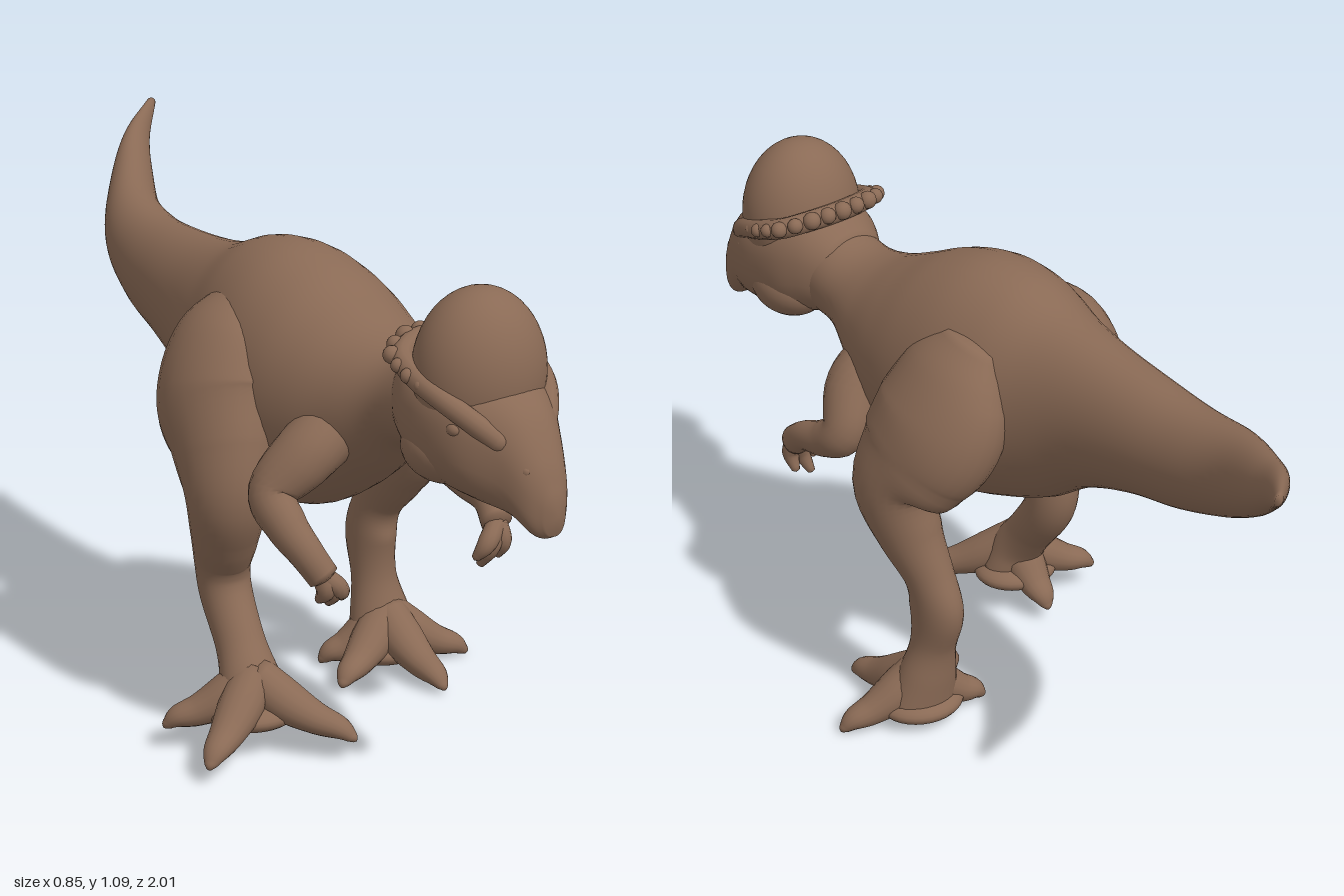
import * as THREE from 'three';

const skin = new THREE.MeshStandardMaterial({ color: 0x8a6a55 });
skin.name = 'brownSkin';

const V = (x, y, z) => new THREE.Vector3(x, y, z);

// Smooth closed skin through sections [x, y, z, radiusU, radiusV].
// ref sets the ring orientation; without it rings stay in z planes (run towards +z).
function loft(name, secs, { ref = null, steps = 6, sides = 24, power = 1 } = {}) {
  const path = new THREE.CatmullRomCurve3(secs.map(s => V(s[0], s[1], s[2])), false, 'catmullrom', 0.5);
  const size = new THREE.CatmullRomCurve3(secs.map(s => V(s[3], s[4], 0)), false, 'catmullrom', 0.5);
  const n = (secs.length - 1) * steps, pos = [], idx = [];
  const bend = c => Math.sign(c) * Math.pow(Math.abs(c), power);
  for (let i = 0; i <= n; i++) {
    const t = i / n, p = path.getPoint(t), r = size.getPoint(t);
    const dir = path.getTangent(t);
    const u = ref ? ref.clone().cross(dir).normalize() : V(1, 0, 0);
    const v = ref ? dir.clone().cross(u) : V(0, 1, 0);
    for (let j = 0; j < sides; j++) {
      const a = j / sides * Math.PI * 2;
      const q = p.clone().addScaledVector(u, r.x * bend(Math.cos(a))).addScaledVector(v, r.y * bend(Math.sin(a)));
      pos.push(q.x, q.y, q.z);
    }
  }
  for (let i = 0; i < n; i++) for (let j = 0; j < sides; j++) {
    const k = (j + 1) % sides, a = i * sides + j, b = i * sides + k;
    idx.push(a, b, b + sides, a, b + sides, a + sides);
  }
  // rounded ends
  for (const end of [0, 1]) {
    const s = secs[end ? secs.length - 1 : 0];
    const dir = ref ? path.getTangent(end) : V(0, 0, 1);
    const tip = V(s[0], s[1], s[2]).addScaledVector(dir, (end ? 0.5 : -0.5) * Math.min(s[3], s[4]));
    const c = pos.length / 3, o = end * n * sides;
    pos.push(tip.x, tip.y, tip.z);
    for (let j = 0; j < sides; j++) {
      const k = (j + 1) % sides;
      if (end) idx.push(c, o + j, o + k); else idx.push(c, o + k, o + j);
    }
  }
  const g = new THREE.BufferGeometry();
  g.setAttribute('position', new THREE.Float32BufferAttribute(pos, 3));
  g.setIndex(idx);
  g.computeVertexNormals();
  const m = new THREE.Mesh(g, skin);
  m.name = name;
  return m;
}

function blob(name, [x, y, z], [rx, ry, rz], detail = 16) {
  const m = new THREE.Mesh(new THREE.SphereGeometry(1, detail * 2, detail), skin);
  m.name = name;
  m.position.set(x, y, z);
  m.scale.set(rx, ry, rz);
  return m;
}

function group(name, ...parts) {
  const g = new THREE.Group();
  g.name = name;
  g.add(...parts);
  return g;
}

// Foot: a low web with toes sloping off the ankle to the given tips
function foot(name, [cx, cy, cz], tips) {
  const g = group(name, blob('footWeb', [cx, cy - 0.005, cz], [0.1, 0.035, 0.09]));
  for (const [x, y, z] of tips) {
    const at = (t, h, a, b) => [cx + (x - cx) * t, cy + (y - cy) * t + h, cz + (z - cz) * t, a, b];
    g.add(loft('toe', [at(0, 0.075, 0.045, 0.045), at(0.3, 0.04, 0.048, 0.046), at(0.6, 0.022, 0.038, 0.034),
      at(0.84, 0.017, 0.028, 0.024), at(0.96, 0.006, 0.015, 0.013), at(1, 0, 0.006, 0.006)],
    { ref: V(0, 1, 0), sides: 16 }));
  }
  return g;
}

// Arm: shoulder to palm, then three curled fingers
function arm(name, secs, tips) {
  const g = group(name, loft('armAndPalm', secs, { ref: V(1, 0, 0), sides: 20 }));
  const [px, py, pz] = secs[secs.length - 1];
  for (const [x, y, z] of tips) {
    g.add(loft('finger', [[px, py, pz, 0.022, 0.022],
      [(px + x) / 2 + (x - px) * 0.15, (py + y) / 2, (pz + z) / 2 + 0.016, 0.021, 0.02],
      [x, y, z, 0.009, 0.009]], { ref: V(1, 0, 0), sides: 12 }));
  }
  return g;
}

function buildHead() {
  const head = group('head');
  // skull and beak
  head.add(loft('face', [
    [0, 0.835, 0.58, 0.085, 0.09], [0, 0.848, 0.64, 0.118, 0.118], [0, 0.838, 0.7, 0.137, 0.128],
    [0, 0.825, 0.78, 0.137, 0.13], [0.003, 0.812, 0.85, 0.12, 0.124], [0.01, 0.782, 0.92, 0.078, 0.106],
    [0.015, 0.728, 0.97, 0.05, 0.08], [0.02, 0.7, 0.994, 0.025, 0.045],
  ], { power: 0.85, sides: 36 }));
  head.add(blob('dome', [0, 0.93, 0.762], [0.137, 0.17, 0.125], 24));
  // brow ridge sunk into the skull, running round the back
  const half = [[0.052, 0.835, 0.905], [0.09, 0.872, 0.865], [0.12, 0.905, 0.81],
    [0.132, 0.93, 0.74], [0.122, 0.952, 0.675], [0.075, 0.967, 0.64]];
  const pts = [...half.map(p => V(...p)), V(0, 0.97, 0.63),
    ...half.slice().reverse().map(([x, y, z]) => V(-x, y, z))];
  const rim = new THREE.CatmullRomCurve3(pts);
  const ridge = new THREE.Mesh(new THREE.TubeGeometry(rim, 70, 0.023, 12), skin);
  ridge.name = 'browRidge';
  head.add(ridge);
  for (const p of [pts[0], pts[pts.length - 1]])
    head.add(blob('browEnd', p.toArray(), [0.023, 0.023, 0.023], 8));
  // knobs along the rear of the ridge, larger towards the back
  for (let i = 0; i <= 14; i++) {
    const p = rim.getPointAt(0.2 + 0.6 * i / 14);
    const r = 0.012 + 0.007 * Math.sin(Math.PI * i / 14) + 0.002 * (i % 2);
    head.add(blob('knob', [p.x * 1.12, p.y + 0.008, p.z - 0.016], [r, r, r], 8));
  }
  for (const s of [1, -1]) {
    head.add(blob('eye', [s * 0.108, 0.85, 0.835], [0.016, 0.015, 0.02], 10));
    head.add(blob('cheek', [s * 0.064, 0.775, 0.735], [0.076, 0.07, 0.1]));
    head.add(blob('nostril', [0.014 + s * 0.04, 0.785, 0.945], [0.013, 0.016, 0.024], 8));
  }
  return head;
}

export function createModel() {
  const model = group('dinosaur');

  // tail, torso and neck in one skin
  model.add(loft('bodyAndTail', [
    [0.272, 1.053, -0.992, 0.013, 0.013], [0.18, 0.997, -0.9, 0.036, 0.042],
    [0.11, 0.935, -0.8, 0.056, 0.066], [0.03, 0.865, -0.65, 0.077, 0.096],
    [0, 0.825, -0.5, 0.093, 0.115], [-0.015, 0.81, -0.35, 0.107, 0.135],
    [-0.025, 0.79, -0.2, 0.125, 0.17], [-0.03, 0.763, -0.08, 0.155, 0.22],
    [-0.025, 0.763, 0.03, 0.19, 0.262], [-0.02, 0.755, 0.14, 0.212, 0.28],
    [-0.015, 0.75, 0.25, 0.21, 0.26], [-0.01, 0.755, 0.35, 0.187, 0.21],
    [-0.005, 0.775, 0.45, 0.147, 0.15], [0, 0.81, 0.54, 0.11, 0.105],
    [0, 0.835, 0.64, 0.1, 0.11],
  ], { sides: 40 }));
  model.add(buildHead());

  // left leg, planted further back
  const legs = { ref: V(0, 0, 1), sides: 28 };
  model.add(group('leftLeg',
    loft('legLimb', [
      [0.1, 0.91, 0.06, 0.05, 0.08], [0.135, 0.83, 0.075, 0.09, 0.14], [0.17, 0.73, 0.09, 0.115, 0.168],
      [0.208, 0.645, 0.125, 0.105, 0.155], [0.245, 0.565, 0.15, 0.08, 0.115], [0.245, 0.475, 0.11, 0.068, 0.083],
      [0.235, 0.385, 0.06, 0.053, 0.06], [0.23, 0.305, 0.042, 0.05, 0.07], [0.23, 0.21, 0.055, 0.05, 0.052],
      [0.235, 0.13, 0.07, 0.068, 0.058], [0.24, 0.06, 0.085, 0.085, 0.065]], legs),
    foot('leftFoot', [0.24, 0.055, 0.09],
      [[0.06, 0.025, 0.19], [0.25, 0.02, 0.31], [0.418, 0.012, 0.15], [0.1, 0.02, 0.04]])));

  // right leg, stepping forward
  model.add(group('rightLeg',
    loft('legLimb', [
      [-0.12, 0.91, 0.08, 0.055, 0.08], [-0.175, 0.83, 0.1, 0.1, 0.14], [-0.208, 0.73, 0.13, 0.12, 0.162],
      [-0.235, 0.64, 0.19, 0.102, 0.132], [-0.252, 0.55, 0.225, 0.085, 0.1], [-0.245, 0.46, 0.205, 0.071, 0.08],
      [-0.233, 0.38, 0.175, 0.058, 0.066], [-0.23, 0.31, 0.185, 0.055, 0.06], [-0.235, 0.22, 0.25, 0.053, 0.055],
      [-0.24, 0.16, 0.295, 0.066, 0.058], [-0.24, 0.105, 0.315, 0.08, 0.06]], legs),
    foot('rightFoot', [-0.24, 0.095, 0.31],
      [[-0.1, 0.055, 0.49], [-0.42, 0.045, 0.43], [-0.41, 0.06, 0.23], [-0.225, 0.04, 0.18]])));

  // arms
  model.add(arm('leftArm', [
    [0.07, 0.73, 0.4, 0.07, 0.07], [0.145, 0.675, 0.405, 0.07, 0.065], [0.2, 0.595, 0.38, 0.054, 0.05],
    [0.213, 0.557, 0.43, 0.043, 0.04], [0.215, 0.535, 0.5, 0.034, 0.032], [0.205, 0.5, 0.55, 0.034, 0.033]],
  [[0.145, 0.435, 0.56], [0.172, 0.41, 0.54], [0.212, 0.425, 0.545]]));
  model.add(arm('rightArm', [
    [-0.08, 0.74, 0.4, 0.07, 0.07], [-0.17, 0.68, 0.405, 0.07, 0.065], [-0.242, 0.605, 0.39, 0.055, 0.05],
    [-0.242, 0.55, 0.44, 0.046, 0.043], [-0.222, 0.5, 0.485, 0.038, 0.036], [-0.195, 0.45, 0.51, 0.035, 0.033]],
  [[-0.148, 0.395, 0.505], [-0.16, 0.375, 0.475], [-0.19, 0.39, 0.485]]));

  return model;
}
